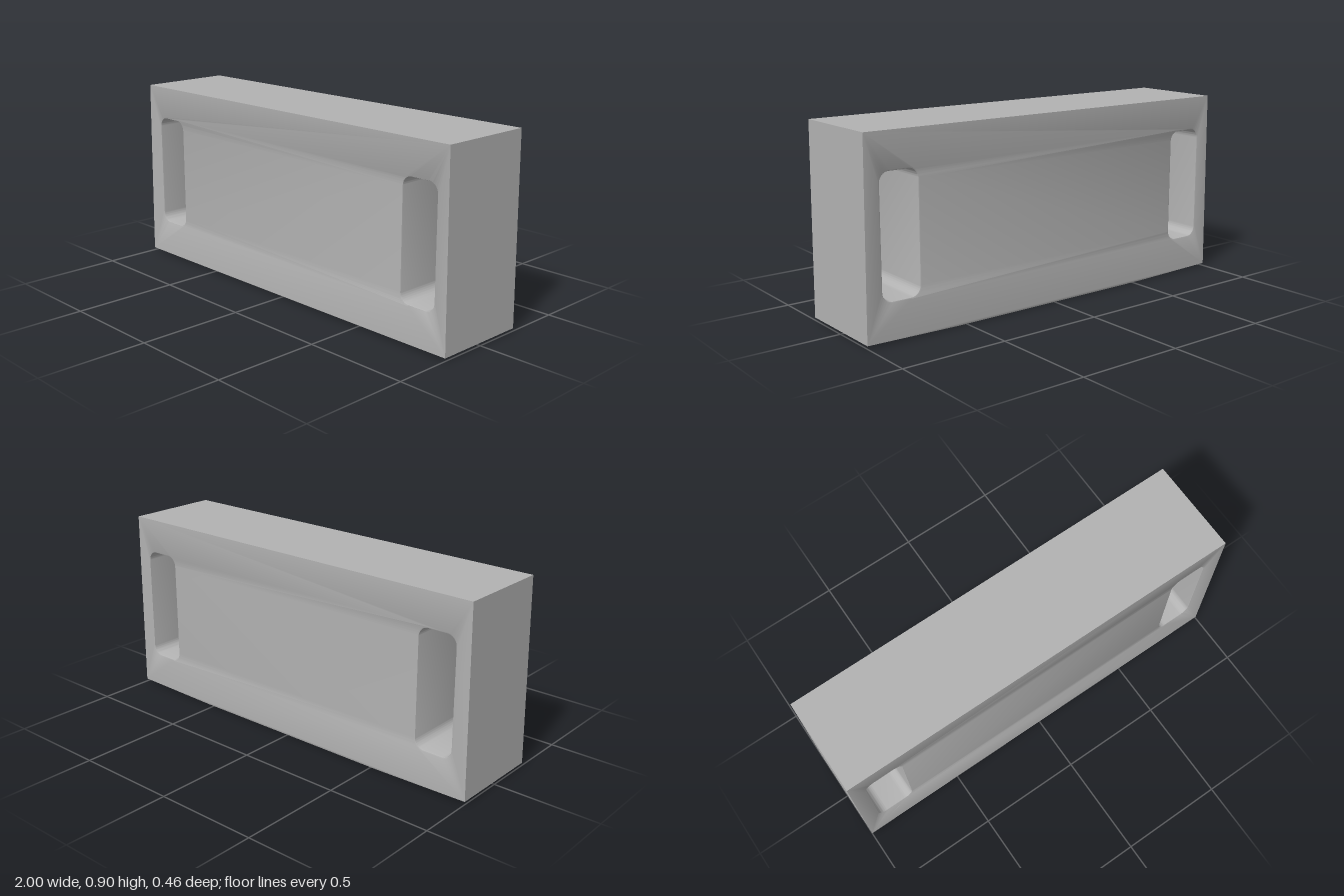
import * as THREE from 'three';
import { toCreasedNormals } from 'three/addons/utils/BufferGeometryUtils.js';

const BACK = -0.23, FRONT = 0.215, BEVEL = 0.007;

// Rounded upright slot through the block
function slotPath(cx, cy, w, h, r) {
  const p = new THREE.Path();
  const x = w / 2 - r, y = h / 2 - r;
  p.absarc(cx + x, cy + y, r, 0, Math.PI / 2);
  p.absarc(cx - x, cy + y, r, Math.PI / 2, Math.PI);
  p.absarc(cx - x, cy - y, r, Math.PI, Math.PI * 1.5);
  p.absarc(cx + x, cy - y, r, Math.PI * 1.5, Math.PI * 2);
  p.closePath();
  return p;
}

export function createModel() {
  const group = new THREE.Group();
  group.name = 'slottedBlock';
  const grey = new THREE.MeshStandardMaterial({ color: 0xb2b2b2 });
  grey.name = 'grey';

  // Outline with an underside that lifts slightly towards both ends
  const outline = new THREE.Shape([
    [-0.99, 0.015], [-0.53, 0], [0.53, 0], [0.99, 0.015], [0.99, 0.89], [-0.99, 0.89],
  ].map(([x, y]) => new THREE.Vector2(x, y)));
  for (const side of [-1, 1]) outline.holes.push(slotPath(side * 0.829, 0.454, 0.182, 0.548, 0.045));

  const geometry = new THREE.ExtrudeGeometry(outline, {
    depth: FRONT - BACK - 2 * BEVEL,
    bevelEnabled: true, bevelSize: BEVEL, bevelThickness: BEVEL, bevelOffset: -BEVEL,
    bevelSegments: 2, curveSegments: 8,
  });
  geometry.translate(0, 0, BACK + BEVEL);

  // Flare the end corners: forward at both ends, outward at the foot, up at the left end
  const pos = geometry.attributes.position;
  for (let i = 0; i < pos.count; i++) {
    const x = pos.getX(i), y = pos.getY(i), z = pos.getZ(i);
    if (Math.abs(x) < 0.96) continue;
    const foot = y < 0.1;
    const endX = foot ? 1 : 0.99;
    const endY = foot ? 0.013 : x > 0 ? 0.897 : 0.89;
    const endZ = z < 0 ? BACK : foot || x > 0 ? 0.23 : 0.224;
    pos.setXYZ(i, Math.sign(x) * endX, endY, endZ);
  }
  geometry.computeVertexNormals();

  const block = new THREE.Mesh(toCreasedNormals(geometry, Math.PI / 5), grey);
  block.name = 'block';
  group.add(block);
  return group;
}
